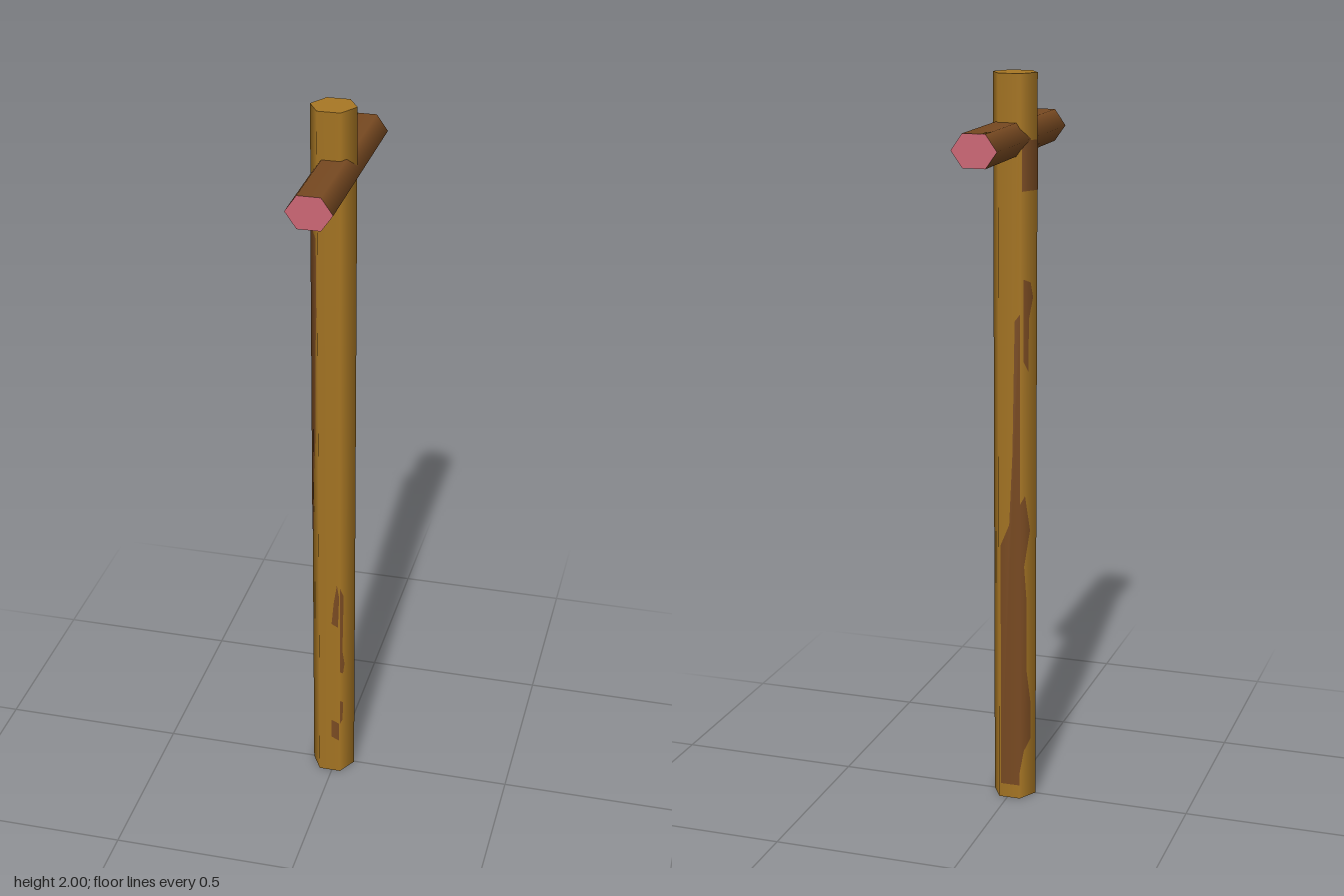
import * as THREE from 'three';

const mat = (name, color) => {
  const m = new THREE.MeshStandardMaterial({ color });
  m.name = name;
  return m;
};

export function createModel() {
  const group = new THREE.Group();
  const ochre = mat('ochre wood', 0xa87724);
  const brown = mat('brown bark', 0x7a4b22);
  const pink = mat('pink cut wood', 0xcc6674);
  const add = (name, geometry, material, x, y, z) => {
    const mesh = new THREE.Mesh(geometry, material);
    mesh.name = name;
    mesh.position.set(x, y, z);
    group.add(mesh);
  };

  // Hexagonal log with corners on the x axis
  const R = 0.06;
  const log = (length) =>
    new THREE.CylinderGeometry(R, R, length, 6, 1, false, Math.PI / 2);

  // Upright post
  const postX = -0.006, postZ = 0.002;
  add('post', log(2), ochre, postX, 1, postZ);

  // Flattened crossbar with pink cut ends
  const bar = log(0.589).rotateX(Math.PI / 2).scale(1, 0.82, 1);
  add('crossbar', bar, [brown, pink, pink], 0.005, 1.833, -0.002);

  // Bark patch on one post side: u runs 0 to 1 from left to right seen from outside
  const corner = (i) => new THREE.Vector3(Math.cos(i * Math.PI / 3), 0, Math.sin(i * Math.PI / 3));
  const patch = (side, points) => {
    const shape = new THREE.Shape(points.map(([u, y]) => new THREE.Vector2(u, y)));
    const geo = new THREE.ShapeGeometry(shape);
    const p = geo.attributes.position, n = geo.attributes.normal;
    const left = corner(side + 1), right = corner(side);
    for (let i = 0; i < p.count; i++) {
      const v = left.clone().lerp(right, p.getX(i));
      const d = v.clone().normalize();
      v.multiplyScalar(R + 0.001);
      p.setXYZ(i, v.x, p.getY(i), v.z);
      n.setXYZ(i, d.x, 0, d.z);
    }
    add('barkPatch', geo, brown, postX, 0, postZ);
  };

  // Front right side, beside the front edge
  patch(0, [[0, 0.35], [0.2, 0.34], [0.3, 0.37], [0.15, 0.42], [0.2, 0.5], [0.22, 0.6], [0, 0.63]]);
  patch(0, [[0, 0.17], [0.18, 0.18], [0.2, 0.24], [0, 0.25]]);
  // Front side
  patch(1, [[0.6, 0.51], [0.9, 0.5], [0.95, 0.6], [0.85, 0.64], [0.7, 0.58]]);
  patch(1, [[0.6, 0.12], [0.95, 0.11], [0.95, 0.17], [0.6, 0.18]]);
  // Front left side
  patch(2, [[0, 0.78], [0.3, 0.78], [0.3, 0.95], [0.6, 1.08], [0.7, 1.35], [0.85, 1.45], [0.8, 1.66], [0, 1.68]]);
  // Back left side
  patch(3, [[0.1, 1.7], [1, 1.7], [1, 1.83], [0.1, 1.83]]);
  patch(3, [[0.2, 1.25], [0.5, 1.22], [0.5, 1.36], [0.75, 1.42], [0.6, 1.46], [0.2, 1.47]]);
  patch(3, [[0, 0.08], [0.25, 0.14], [0.65, 0.17], [0.65, 0.28], [0.4, 0.38], [0.4, 0.58],
    [0.25, 0.68], [0.6, 0.78], [0.3, 0.88], [0, 0.86]]);
  // Back side
  patch(4, [[0.1, 0.04], [1, 0.04], [1, 1.38], [0.75, 1.36], [0.65, 1.0], [0.5, 0.8], [0.1, 0.74]]);

  // Bare wood streaks on top of the crossbar
  for (const [x, length] of [[-0.023, 0.045], [-0.016, 0.036]]) {
    const streak = new THREE.BoxGeometry(0.004, 0.001, length);
    add('bareStreak', streak, ochre, x, 1.8757, -0.2965 + length / 2);
  }
  return group;
}
